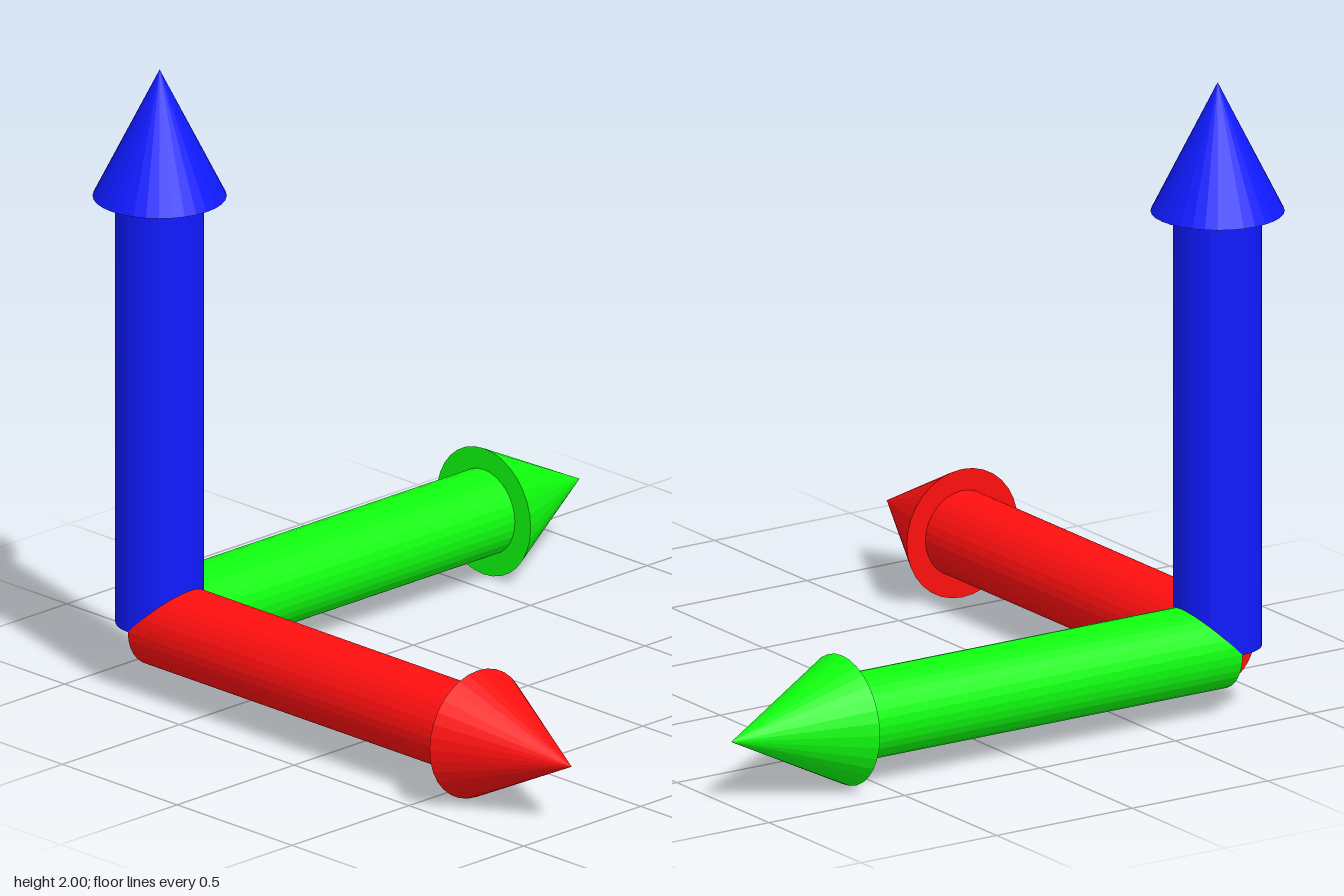
import * as THREE from 'three';

const SIDES = 32;
const SHAFT_RADIUS = 0.136, SHAFT_LENGTH = 1.385;
const HEAD_RADIUS = 0.205, HEAD_LENGTH = 0.41;

// One arrow pointing up +y from its own origin: capped shaft plus cone head
function createArrow(name, color) {
  const material = new THREE.MeshStandardMaterial({ color, flatShading: true });
  const arrow = new THREE.Group();
  arrow.name = name;

  const shaft = new THREE.Mesh(
    new THREE.CylinderGeometry(SHAFT_RADIUS, SHAFT_RADIUS, SHAFT_LENGTH, SIDES), material);
  shaft.name = name + 'Shaft';
  shaft.position.y = SHAFT_LENGTH / 2;

  const head = new THREE.Mesh(
    new THREE.ConeGeometry(HEAD_RADIUS, HEAD_LENGTH, SIDES), material);
  head.name = name + 'Head';
  head.position.y = SHAFT_LENGTH + HEAD_LENGTH / 2;

  arrow.add(shaft, head);
  return arrow;
}

export function createModel() {
  const model = new THREE.Group();
  model.name = 'axisArrows';

  // Three perpendicular arrows sharing one corner
  const upArrow = createArrow('upArrow', 0x0f1aff);
  const sideArrow = createArrow('sideArrow', 0xff0f0f);
  sideArrow.rotation.z = -Math.PI / 2;
  const backArrow = createArrow('backArrow', 0x0fff0f);
  backArrow.rotation.x = -Math.PI / 2;

  for (const arrow of [upArrow, sideArrow, backArrow]) {
    arrow.position.set(-0.795, 0.205, 0.795);
    model.add(arrow);
  }
  return model;
}
